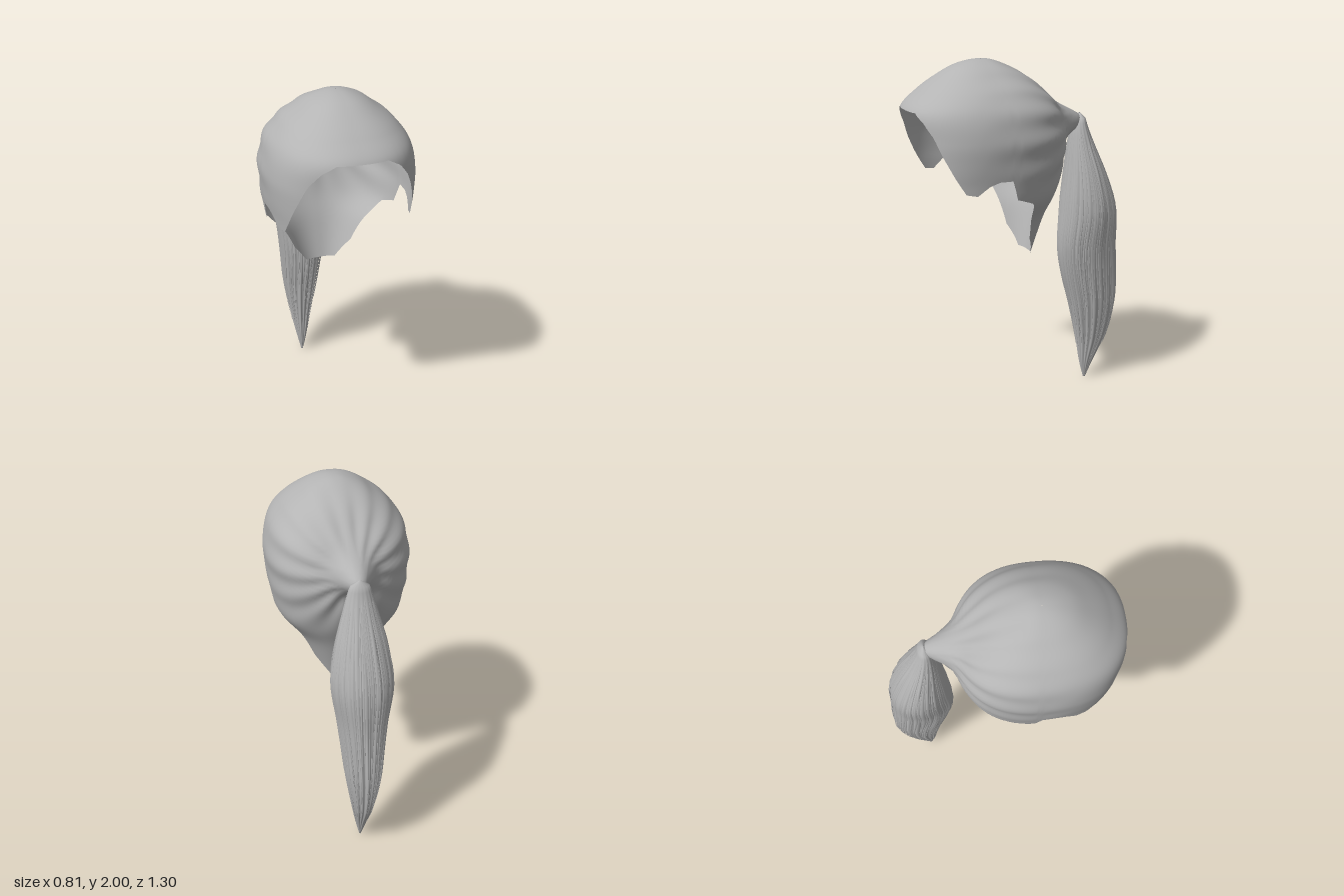
import * as THREE from 'three';
import { mergeVertices, mergeGeometries } from 'three/addons/utils/BufferGeometryUtils.js';

const { lerp, clamp, degToRad } = THREE.MathUtils;

// Smooth or straight lookup in [key, value...] rows with ascending keys
function table(rows, Kind = THREE.CubicInterpolant) {
  const size = rows[0].length - 1;
  const it = new Kind(rows.map(r => r[0]), rows.flatMap(r => r.slice(1)), size);
  return k => Array.from(it.evaluate(clamp(k, rows[0][0], rows[rows.length - 1][0])));
}

// Smooth surface from point(u, v); u runs to the right and v runs down
function sheet(cols, rows, point) {
  const pos = [], index = [];
  for (let i = 0; i <= cols; i++) {
    for (let j = 0; j <= rows; j++) {
      pos.push(...point(i / cols, j / rows));
      if (i < cols && j < rows) {
        const a = i * (rows + 1) + j, c = a + rows + 1;
        index.push(a, a + 1, c, c, a + 1, c + 1);
      }
    }
  }
  let g = new THREE.BufferGeometry();
  g.setAttribute('position', new THREE.Float32BufferAttribute(pos, 3));
  g.setIndex(index);
  g = mergeVertices(g, 1e-5);
  g.computeVertexNormals();
  return g;
}

// Cap sections, keyed by sqrt(2 - y): front z, back z, half width
const capSection = table([
  [2, 0.22, 0.22, 0], [1.97, 0.37, 0.1, 0.12], [1.92, 0.46, 0, 0.2],
  [1.84, 0.57, -0.1, 0.3], [1.75, 0.66, -0.185, 0.365], [1.6, 0.67, -0.235, 0.4],
  [1.5, 0.67, -0.235, 0.397], [1.4, 0.67, -0.22, 0.385], [1.25, 0.65, -0.18, 0.355],
  [1.13, 0.6, -0.135, 0.265], [1, 0.5, -0.095, 0.21], [0.88, 0.45, -0.06, 0.17],
].map(([y, ...v]) => [Math.sqrt(2 - y), ...v]));

// Hem height by angle from the front, in degrees
const hem = table([
  [0, 1.75], [18, 1.75], [29, 1.71], [38, 1.64], [46, 1.54], [64, 1.34], [72, 1.33],
  [80, 1.38], [86, 1.4], [92, 1.4], [96, 1.29], [111, 1.25], [120, 1.13],
  [130, 1], [154, 0.885], [180, 0.88],
], THREE.LinearInterpolant);

const power = v => Math.sign(v) * Math.abs(v) ** 0.85;

function capPoint(u, v) {
  const deg = u * 360 - 180, a = degToRad(deg);
  const y = 2 - (2 - hem(Math.abs(deg))[0]) * v * v;
  const [front, back, w] = capSection(Math.sqrt(2 - y));
  const c = power(Math.cos(a));
  let x = w * power(Math.sin(a));
  let z = 0.22 + c * (c > 0 ? front - 0.22 : 0.22 - back);
  // Combed ridges fan out from the tie
  const r = Math.hypot(x, y - 1.63);
  const fan = Math.atan2(Math.abs(x), y - 1.63);
  const ridge = 0.006 * Math.cos(fan * 15) * clamp((0.35 - z) / 0.4, 0, 1)
    * clamp(r / 0.2, 0, 1) * clamp((y - 1.2) / 0.2, 0, 1);
  x += Math.sin(a) * ridge;
  z += Math.cos(a) * ridge;
  // Neck drawn out into the ponytail
  if (z < 0.1) z -= 0.17 * Math.exp(-((r / 0.088) ** 2));
  return [x, y, z];
}

// Ponytail sections by height: front z, back z, half width
const tailSection = table([
  [0, -0.44, -0.455, 0.006], [0.1, -0.415, -0.5, 0.03], [0.28, -0.385, -0.59, 0.065],
  [0.5, -0.34, -0.635, 0.1], [0.7, -0.29, -0.635, 0.12], [0.85, -0.268, -0.625, 0.137],
  [1.1, -0.282, -0.61, 0.168], [1.3, -0.298, -0.55, 0.145], [1.5, -0.318, -0.465, 0.095],
  [1.6, -0.335, -0.425, 0.066], [1.64, -0.35, -0.412, 0.05], [1.665, -0.38, -0.385, 0.006],
]);

function tailPoint(y, a, scale = 1) {
  const [front, back, w] = tailSection(y);
  return [scale * w * Math.sin(a), y,
    (front + back) / 2 + scale * (front - back) / 2 * Math.cos(a)];
}

// Grooved core of the ponytail
function tailCore(u, v) {
  const a = u * Math.PI * 2, y = 1.665 * (1 - v);
  const groove = 0.035 * Math.cos(a * 18) + 0.025 * Math.cos(a * 7 + v * 3);
  return tailPoint(y, a, 0.95 + groove * clamp(v * 5, 0, 1));
}

function seeded(seed) {
  return () => {
    seed = (seed * 16807) % 2147483647;
    return seed / 2147483647;
  };
}

// Tapered locks lying along the ponytail and fraying near the end
function locks(count) {
  const rnd = seeded(71), parts = [];
  for (let k = 0; k < count; k++) {
    const angle = (k + rnd() * 0.8) / count * Math.PI * 2;
    const top = lerp(1.4, 1.62, rnd()), end = lerp(0.1, 0.6, rnd());
    const lift = lerp(0.98, 1.05, rnd()), half = lerp(0.03, 0.075, rnd());
    const sway = (rnd() - 0.5) * 0.3;
    parts.push(sheet(2, 22, (u, v) => {
      const side = (u - 0.5) * 2;
      const spread = half * Math.min(1, (1 - v) * 1.8 + 0.04);
      const scale = lerp(0.96, lift, Math.min(1, v * 3)) - 0.03 * Math.abs(side);
      return tailPoint(lerp(top, end, v), angle + sway * v * v + side * spread, scale);
    }));
  }
  return mergeGeometries(parts);
}

export function createModel() {
  const group = new THREE.Group();
  group.name = 'ponytailHair';
  const hair = new THREE.MeshStandardMaterial({ color: 0xb4b4b4, side: THREE.DoubleSide });
  hair.name = 'hair grey';

  const add = (name, geometry) => {
    const mesh = new THREE.Mesh(geometry, hair);
    mesh.name = name;
    group.add(mesh);
  };
  add('hairCap', sheet(180, 60, capPoint));
  add('ponytailCore', sheet(144, 60, tailCore));
  add('ponytailLocks', locks(90));
  return group;
}
